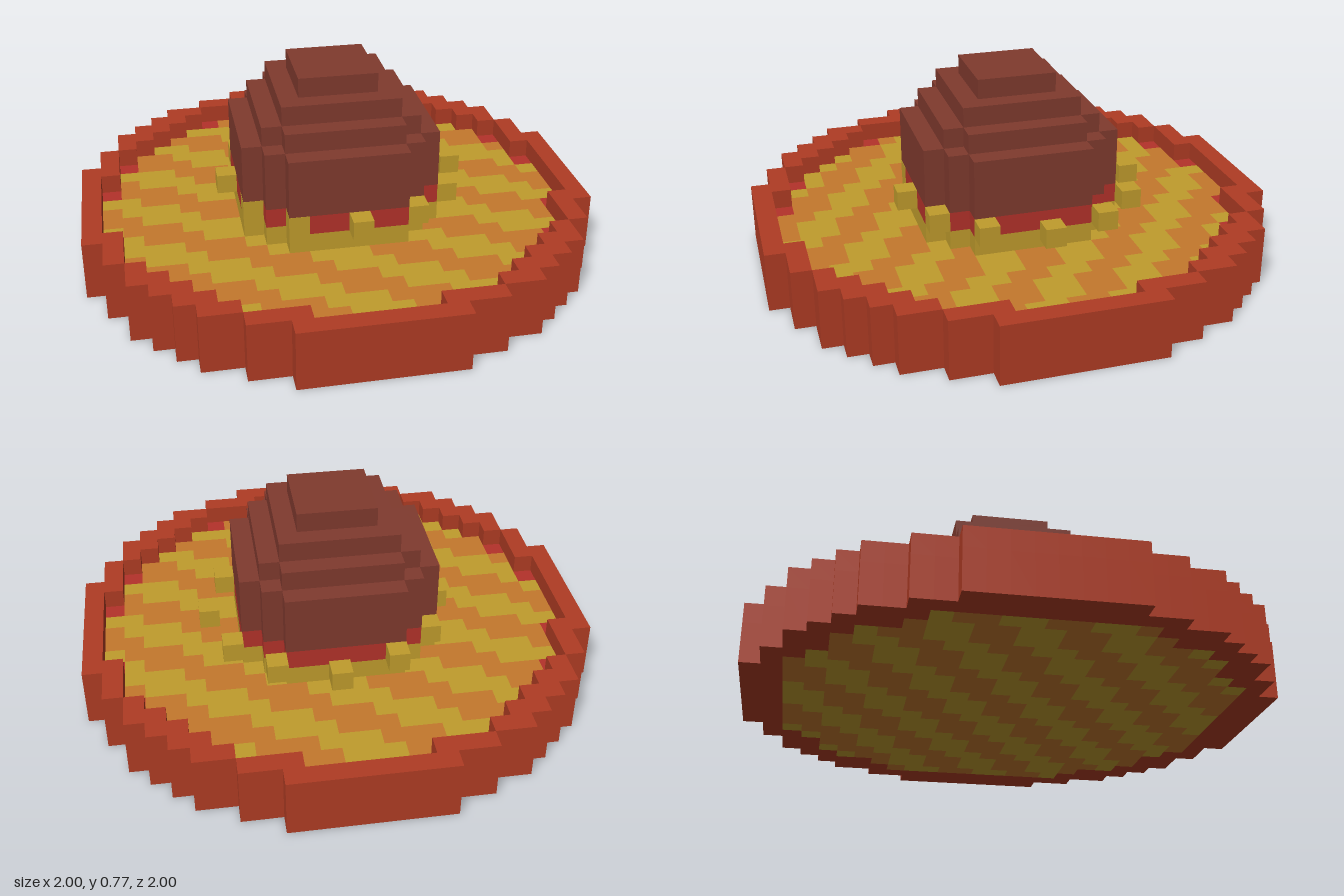
import * as THREE from 'three';
import { mergeGeometries } from 'three/addons/utils/BufferGeometryUtils.js';

const U = 1 / 13; // one block
const SKIN = 0.003; // thickness of the painted floor plates

const paint = (name, color) => {
  const m = new THREE.MeshStandardMaterial({ color });
  m.name = name;
  return m;
};

// Number of blocks from the axis to the edge of a disc of radius r, in row j
function halfWidth(r, j) {
  let n = 0;
  while (Math.hypot(n + 0.5, j + 0.5) < r) n++;
  return n;
}

// Stepped outline of a disc made of blocks
function discPoints(r) {
  const right = [];
  const rows = halfWidth(r, 0);
  for (let j = -rows; j < rows; j++) {
    const w = halfWidth(r, j) * U;
    right.push(new THREE.Vector2(w, j * U), new THREE.Vector2(w, (j + 1) * U));
  }
  const left = right.map((p) => new THREE.Vector2(-p.x, p.y)).reverse();
  return right.concat(left);
}

// Stepped disc or ring between two heights
function disc(r, y0, y1, hole) {
  const shape = new THREE.Shape(discPoints(r));
  if (hole) shape.holes.push(new THREE.Path(discPoints(hole)));
  return new THREE.ExtrudeGeometry(shape, { depth: y1 - y0, bevelEnabled: false })
    .rotateX(Math.PI / 2).translate(0, y1, 0);
}

function block(w, h, d, x, y, z) {
  return new THREE.BoxGeometry(w, h, d).translate(x, y, z);
}

// Slanted stripes across the floor
const isYellow = (x, z) => {
  const t = (((2 * x - 3 * z) % 12) + 12) % 12;
  return t > 3.2 && t < 9.2;
};

// Thin plates for every run of one stripe colour within radius r
function stripes(r, y, yellow) {
  const runs = [];
  const rows = halfWidth(r, 0);
  for (let j = -rows; j < rows; j++) {
    const w = halfWidth(r, j);
    let start = null;
    for (let i = -w; i <= w; i++) {
      const hit = i < w && isYellow(i + 0.5, j + 0.5) === yellow;
      if (hit && start === null) start = i;
      if (!hit && start !== null) {
        runs.push(block((i - start) * U, SKIN, U, (i + start) / 2 * U, y, (j + 0.5) * U));
        start = null;
      }
    }
  }
  return mergeGeometries(runs);
}

export function createModel() {
  const rimRed = paint('rimRed', 0xb03c24);
  const sauceRed = paint('sauceRed', 0xb4322a);
  const yellow = paint('yellow', 0xc09c2c);
  const orange = paint('orange', 0xc4782c);
  const brown = paint('brown', 0x803a2e);

  const model = new THREE.Group();
  const add = (name, geometry, material) => {
    const mesh = new THREE.Mesh(geometry, material);
    mesh.name = name;
    model.add(mesh);
  };

  // Dish: base, raised rim and striped floor on both sides
  add('underside', disc(13, 0, 2 * U, 11.5), rimRed);
  add('floorCore', disc(12, SKIN, 2 * U - SKIN), sauceRed);
  add('floorEdge', disc(12, 2 * U - SKIN, 2 * U + SKIN / 4, 11.5), sauceRed);
  add('rim', disc(13, 2 * U, 3 * U, 12), rimRed);
  for (const [side, r, y] of [['top', 11.7, 2 * U], ['bottom', 11.5, SKIN / 2]]) {
    add(side + 'YellowStripes', stripes(r, y, true), yellow);
    add(side + 'OrangeStripes', stripes(r, y, false), orange);
  }

  // Central mound
  add('lowerBand', disc(5.2, 2 * U, 3 * U), yellow);
  add('upperBand', disc(5.2, 3 * U, 4 * U), sauceRed);
  add('moundBody', disc(5.2, 4 * U, 7 * U), brown);
  add('moundShoulder', disc(4.5, 7 * U, 8 * U), brown);
  add('moundStep', block(6 * U, U, 6 * U, 0, 8.5 * U, 0), brown);
  add('moundTop', block(4 * U, U, 4 * U, 0, 9.5 * U, 0), brown);

  // Ring of twelve studs, centred half a block off the axis
  for (let k = 0; k < 12; k++) {
    const a = (k * Math.PI) / 6;
    const x = Math.round(6 * Math.cos(a)) + 0.5;
    const z = Math.round(6 * Math.sin(a)) - 0.5;
    const s = U + 0.002;
    add('stud', block(s, U, s, x * U, 3.5 * U, z * U), yellow);
  }
  return model;
}
